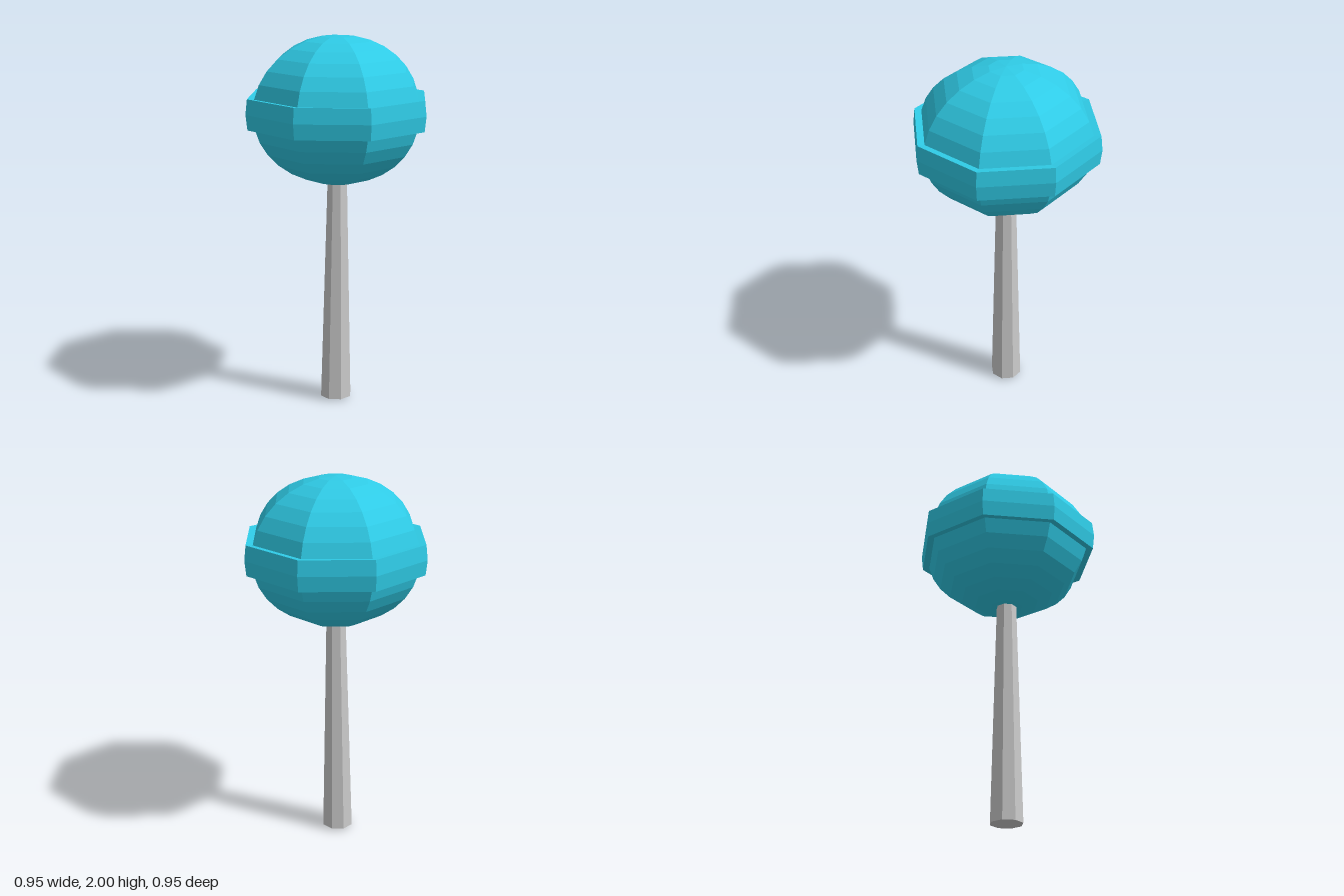
import * as THREE from 'three';

const SIDES = 8;
const TURN = THREE.MathUtils.degToRad(27.3);

// Eight-sided faceted solid from a bottom-to-top [radius, y] profile
function facetedLathe(name, profile, material) {
  const points = profile.map(([r, y]) => new THREE.Vector2(r, y));
  const mesh = new THREE.Mesh(new THREE.LatheGeometry(points, SIDES, TURN), material);
  mesh.name = name;
  return mesh;
}

export function createModel() {
  const model = new THREE.Group();
  model.name = 'mallet';
  const blue = new THREE.MeshStandardMaterial({ color: 0x2fcbe6, flatShading: true });
  const grey = new THREE.MeshStandardMaterial({ color: 0xcccccc, flatShading: true });

  // Head: flattened ball with sixteen rows
  const ROWS = 16, centreY = 1.61, radius = 0.46, halfHeight = 0.39;
  const ball = [];
  for (let i = 0; i <= ROWS; i++) {
    const a = (i / ROWS) * Math.PI;
    ball.push([i % ROWS ? radius * Math.sin(a) : 0, centreY - halfHeight * Math.cos(a)]);
  }
  model.add(facetedLathe('head', ball, blue));

  // Raised belt covering the two middle rows of the head
  const belt = [ball[7], [0.489, 1.53], [0.498, centreY], [0.489, 1.69], ball[9]];
  model.add(facetedLathe('belt', belt, blue));

  // Tapered stick, its foot leaning slightly off centre
  const stick = facetedLathe('stick', [[0, 0], [0.0866, 0.012], [0.054, 1.26]], grey);
  const p = stick.geometry.attributes.position;
  for (let i = 0; i < p.count; i++) {
    const shift = -0.008 * (1 - p.getY(i) / 1.6);
    p.setXYZ(i, p.getX(i) + shift, p.getY(i), p.getZ(i) + shift);
  }
  stick.geometry.computeVertexNormals();
  model.add(stick);

  return model;
}
